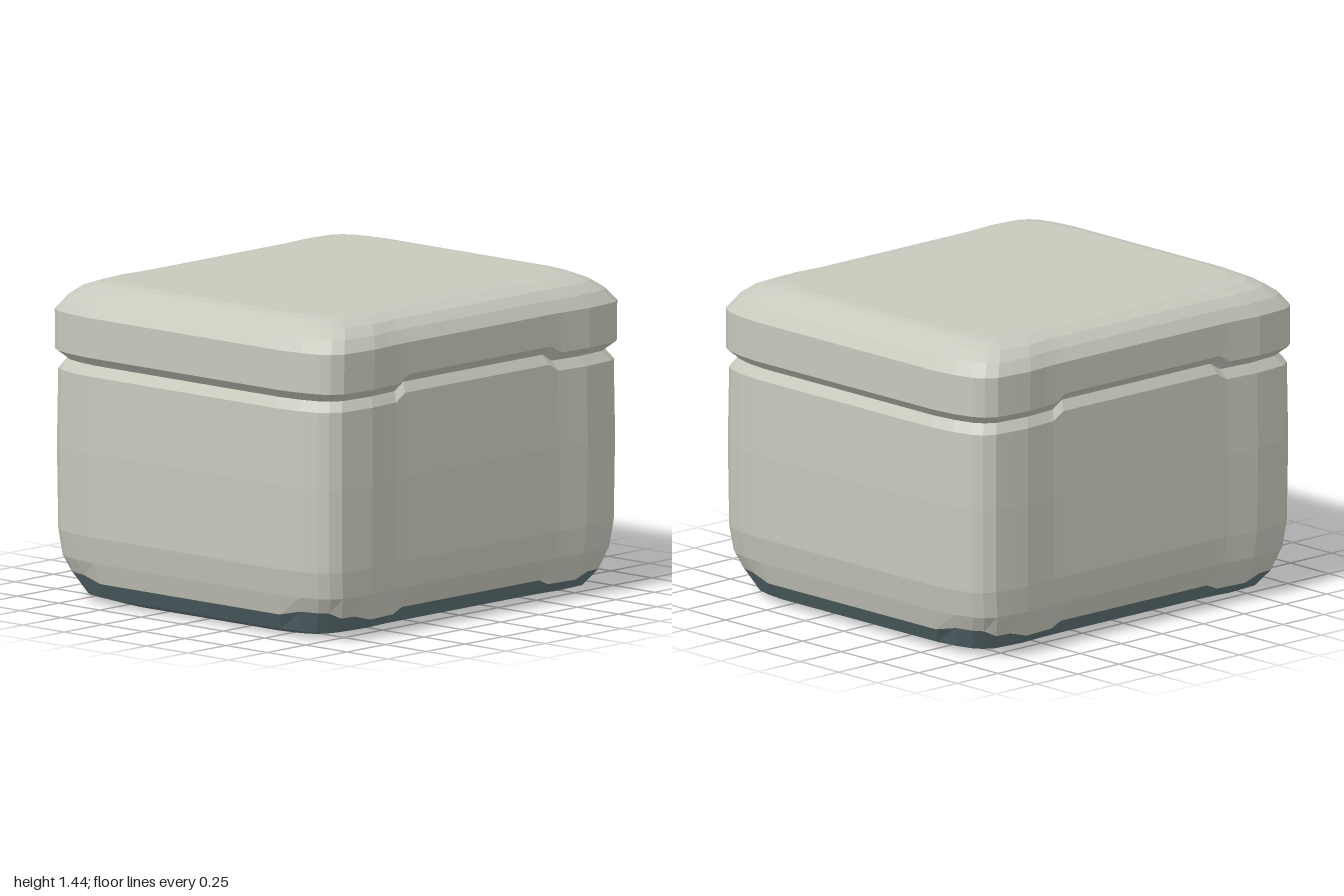
import * as THREE from 'three';

// One quarter of the rounded-square outline (x, z), from the front middle to the side
const QUARTER = [
  [0.47, 0.87], [0.53, 0.871], [0.6, 0.876], [0.7, 0.885], [0.8, 0.876],
  [0.88, 0.868], [0.93, 0.835], [0.96, 0.79], [0.985, 0.7], [1, 0.58],
];
const BACK = QUARTER.map(([x, z]) => [x, -z]).reverse();
const RIGHT_SIDE = [...QUARTER, ...BACK];
const OUTLINE = [...RIGHT_SIDE, ...RIGHT_SIDE.map(([x, z]) => [-x, -z])];

// Raised middle of the seam on the front and back
const seamStep = (x, z) => (Math.abs(x) < 0.5 && Math.abs(z) > 0.85 ? 0.035 : 0);
// Wavy upper edge of the dark base
const baseWave = (x, z) => {
  const ax = Math.abs(x), az = Math.abs(z);
  if (ax > 0.5 && ax < 0.75) return -0.025;
  return ax > 0.9 && az > 0.65 ? 0.025 : 0;
};

// Lofts rings of [y, half width, half depth, height rule] and closes chosen ends
function loft(name, rings, material, capBottom, capTop) {
  const pos = [], index = [], n = OUTLINE.length;
  for (const [y, hx, hz, rule] of rings) {
    for (const [x, z] of OUTLINE) {
      pos.push(x * hx, y + (rule ? rule(x, z) : 0), z * hz / 0.885);
    }
  }
  for (let i = 0; i < rings.length - 1; i++) {
    for (let j = 0; j < n; j++) {
      const a = i * n + j, b = i * n + (j + 1) % n;
      index.push(a, b, b + n, a, b + n, a + n);
    }
  }
  const cap = (ring, up) => {
    const c = pos.length / 3;
    pos.push(0, rings[ring][0], 0);
    for (let j = 0; j < n; j++) {
      const a = ring * n + j, b = ring * n + (j + 1) % n;
      index.push(c, up ? a : b, up ? b : a);
    }
  };
  if (capBottom) cap(0, false);
  if (capTop) cap(rings.length - 1, true);
  const geo = new THREE.BufferGeometry();
  geo.setAttribute('position', new THREE.Float32BufferAttribute(pos, 3));
  geo.setIndex(index);
  geo.computeVertexNormals();
  const mesh = new THREE.Mesh(geo, material);
  mesh.name = name;
  return mesh;
}

export function createModel() {
  const shell = new THREE.MeshStandardMaterial({ color: 0xc8c8bd, flatShading: true });
  shell.name = 'pale stone grey';
  const dark = new THREE.MeshStandardMaterial({ color: 0x617579, flatShading: true });
  dark.name = 'dark slate';

  const group = new THREE.Group();
  group.name = 'liddedBox';

  // Dark underside with a chamfered rim
  group.add(loft('base', [
    [0, 0.82, 0.64],
    [0.03, 0.9, 0.77],
    [0.105, 0.95, 0.83, baseWave],
  ], dark, true, false));

  // Box walls, rising to the groove
  group.add(loft('body', [
    [0.105, 0.95, 0.83, baseWave],
    [0.2, 0.975, 0.862],
    [0.32, 0.995, 0.872],
    [0.7, 1, 0.876],
    [1.045, 0.995, 0.872, seamStep],
    [1.09, 0.962, 0.845, seamStep],
  ], shell, false, false));

  // Lid with an undercut lip and softened top edge
  group.add(loft('lid', [
    [1.09, 0.962, 0.845, seamStep],
    [1.105, 0.975, 0.86, seamStep],
    [1.13, 1, 0.888, seamStep],
    [1.31, 1, 0.89],
    [1.365, 0.955, 0.855],
    [1.405, 0.9, 0.81],
    [1.43, 0.85, 0.745],
    [1.44, 0.8, 0.68],
  ], shell, false, true));

  return group;
}
